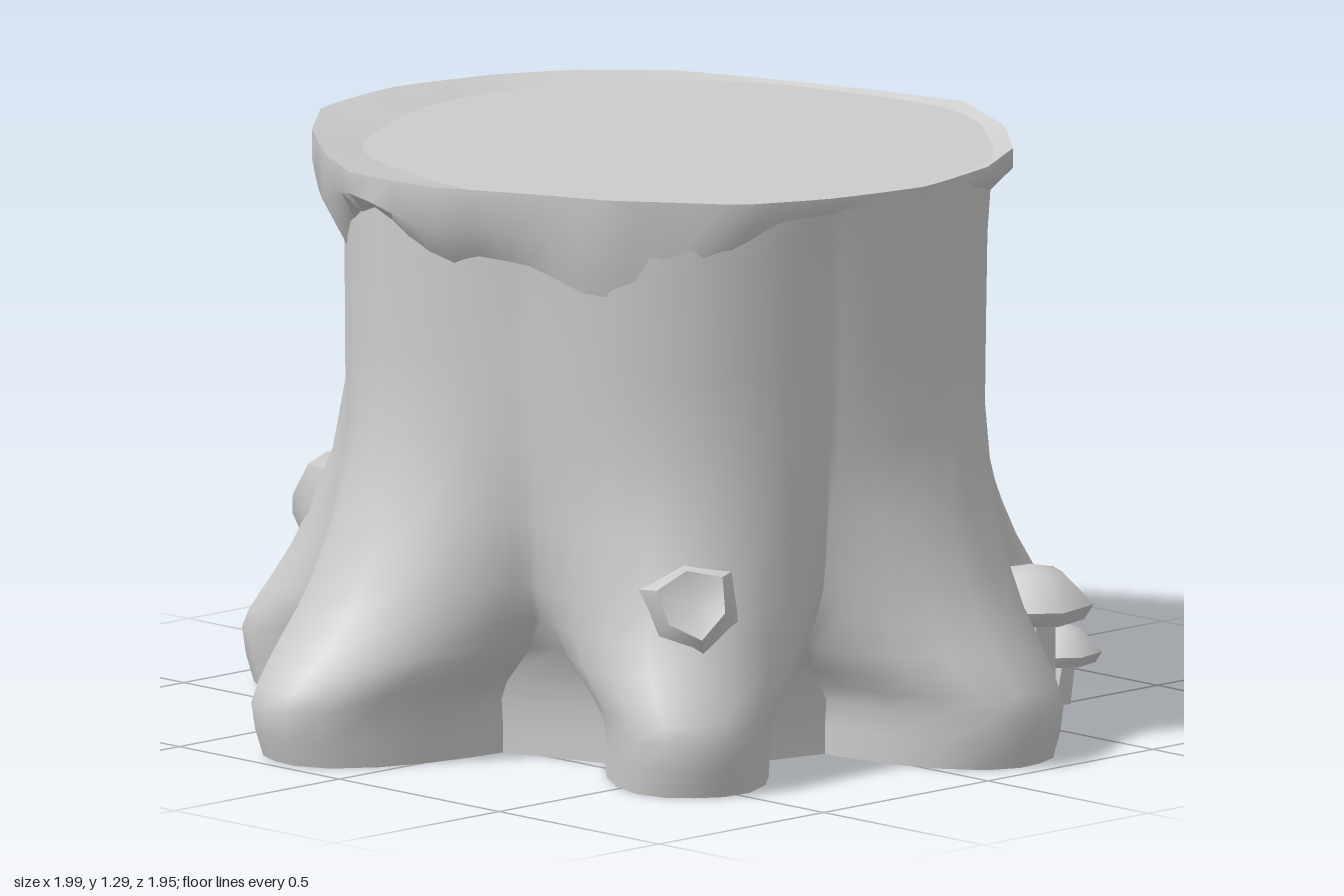
import * as THREE from 'three';
import { toCreasedNormals } from 'three/addons/utils/BufferGeometryUtils.js';

const RAD = Math.PI / 180;
// direction (degrees, from +x towards +z) and tip radius of each root, in turning order
const ROOTS = [[-109, 1.015], [-47, 1.0], [8, 1.005], [77, 0.99], [130.5, 0.93], [194, 1.02]];
// height, root flare, valley radius, root half angle, bluntness, softness
const LEVELS = [
  [0, 0.9, 0.54, 18, 2.7, 1], [0.06, 0.97, 0.54, 18, 2.7, 1], [0.12, 1, 0.545, 18, 2.8, 1],
  [0.16, 0.94, 0.55, 20, 2.6, 1], [0.2, 0.85, 0.555, 23.5, 2.4, 1.1], [0.25, 0.74, 0.57, 28, 2.1, 1.25],
  [0.32, 0.57, 0.6, 31, 2, 1.4], [0.4, 0.41, 0.635, 34, 2, 1.7], [0.55, 0.18, 0.665, 35, 2, 2],
  [0.72, 0.01, 0.68, 36, 2, 2], [0.9, 0, 0.685, 36, 2, 2], [1.1, 0, 0.69, 36, 2, 2], [1.26, 0, 0.705, 36, 2, 2],
];
// direction and radius of the corners of the uneven rim
const RIM = [
  [10, 0.78], [32, 0.75], [50, 0.755], [65, 0.745], [84, 0.735], [106, 0.725], [122, 0.755],
  [144, 0.745], [164, 0.74], [176, 0.777], [194, 0.8], [211, 0.77], [230, 0.78], [246, 0.815],
  [264, 0.795], [285, 0.776], [299, 0.787], [316, 0.79], [332, 0.75], [352, 0.74], [370, 0.78],
];

// signed smallest difference between two angles in degrees
const angleGap = (a, b) => ((a - b + 540) % 360 + 360) % 360 - 180;

// joins closed rings, listed so that the outside faces outward
function loft(rings, crease) {
  const n = rings[0].length, pos = [], index = [];
  rings.forEach(r => r.forEach(p => pos.push(...p)));
  for (let j = 0; j < rings.length - 1; j++) {
    for (let i = 0; i < n; i++) {
      const a = j * n + i, b = j * n + (i + 1) % n;
      index.push(a, a + n, b, b, a + n, b + n);
    }
  }
  const g = new THREE.BufferGeometry();
  g.setAttribute('position', new THREE.Float32BufferAttribute(pos, 3));
  g.setIndex(index);
  return toCreasedNormals(g, crease);
}

function ring(angles, radius, height, cx = 0, cz = 0) {
  return angles.map(d => {
    const r = radius(d);
    return [cx + r * Math.cos(d * RAD), height(d), cz + r * Math.sin(d * RAD)];
  });
}
const even = n => Array.from({ length: n }, (_, i) => i * 360 / n);

function trunkRadius(deg, [, flare, valley, half, blunt, soft]) {
  let r = valley;
  for (const [dir, tip] of ROOTS) {
    const u = Math.min(1, Math.abs(angleGap(deg, dir)) / half);
    const ridge = 0.735 + (tip - 0.735) * flare;
    r = Math.max(r, valley + (ridge - valley) * (1 - u ** blunt) ** soft);
  }
  return r;
}

// angles that follow the root walls, so the edge loops run along each root
function rootAngles([, , , half]) {
  const steps = [-1, -0.93, -0.82, -0.66, -0.45, -0.22, 0, 0.22, 0.45, 0.66, 0.82, 0.93, 1];
  return ROOTS.flatMap(([dir], k) => steps.map(u => {
    const next = ROOTS[(k + (u < 0 ? 5 : 1)) % 6][0];
    return dir + u * Math.min(half, Math.abs(angleGap(next, dir)) * 0.495);
  }));
}

// distance to the straight-sided rim outline
function rimRadius(deg) {
  const d = deg < RIM[0][0] ? deg + 360 : deg;
  const i = RIM.findIndex(c => c[0] > d);
  const [a0, r0] = RIM[i - 1], [a1, r1] = RIM[i];
  return r0 * r1 * Math.sin((a1 - a0) * RAD)
    / (r0 * Math.sin((d - a0) * RAD) + r1 * Math.sin((a1 - d) * RAD));
}

// height of the ragged lower edge of the rim
function rimEdge(deg) {
  let y = 1.22 + 0.01 * Math.sin(deg * RAD * 11);
  for (const [dir, drop, width] of [[7, 0.15, 24], [144, 0.17, 28], [176, 0.12, 18], [-144, 0.15, 24], [-76, 0.13, 22], [45, 0.04, 20]]) {
    y -= drop * Math.max(0, 1 - Math.abs(angleGap(deg, dir)) / width);
  }
  return Math.max(1.06, y);
}

export function createModel() {
  const model = new THREE.Group();
  const grey = new THREE.MeshStandardMaterial({ color: 0xcccccc, side: THREE.DoubleSide });
  grey.name = 'plain grey';
  const add = (name, geometry, parent = model) => {
    const mesh = new THREE.Mesh(geometry, grey);
    mesh.name = name;
    parent.add(mesh);
    return mesh;
  };

  // hollow trunk with flaring roots, open underneath
  add('trunkAndRoots', loft(LEVELS.map(l =>
    ring(rootAngles(l), d => trunkRadius(d, l), () => l[0])), 0.9));

  // bark rim growing out of the trunk, uneven along its top
  const round = even(72);
  const top = LEVELS[LEVELS.length - 1];
  const topY = d => 1.283 + 0.009 * Math.cos((d + 150) * RAD) + 0.006 * Math.sin(3 * d * RAD);
  const cutR = d => 0.685 + 0.012 * Math.sin(d * RAD * 7);
  const cutRing = r => ring(round, r, () => 1.265, 0.045, -0.005);
  add('barkRim', loft([
    ring(round, d => trunkRadius(d, top) - 0.008, rimEdge),
    ring(round, rimRadius, d => rimEdge(d) * 0.5 + 1.28 * 0.5),
    ring(round, rimRadius, topY),
    cutRing(cutR),
  ], 0.9));

  // flat cut surface
  add('cutTop', loft([cutRing(cutR), cutRing(() => 0)], 0.7));

  // low six-sided broken knots on two roots
  for (const [name, at, dir] of [
    ['frontKnot', [-0.51, 0.4, 0.6], [-0.63, 0.35, 0.72]],
    ['backKnot', [-0.27, 0.42, -0.77], [-0.3, 0.45, -0.85]],
  ]) {
    const profile = [[0.16, -0.07], [0.125, 0.0], [0.085, 0.06], [0, 0.04]];
    const knot = add(name, loft(profile.map(([r, y]) =>
      ring(even(6), d => r * (d % 120 ? 0.85 : 1), () => y)), 1));
    knot.position.set(...at);
    knot.quaternion.setFromUnitVectors(new THREE.Vector3(0, 1, 0), new THREE.Vector3(...dir).normalize());
  }

  // mushrooms: leaning six-sided stem under a domed cap
  function mushroom(name, foot, head, capR, capH, stemR) {
    const group = new THREE.Group();
    group.name = name;
    model.add(group);
    const stemRing = (r, [x, y, z]) => ring(even(6), () => r, () => y, x, z);
    add('stem', loft([
      stemRing(0, foot), stemRing(stemR, foot), stemRing(stemR * 0.85, head),
    ], 0.5), group);
    const profile = [[0, 0.15], [0.85, 0], [1, 0.28], [0.5, 0.87], [0, 1]];
    add('cap', loft(profile.map(([r, y]) =>
      ring(even(7), () => r * capR, () => head[1] - 0.01 + y * capH, head[0], head[2])), 0.9), group);
  }
  mushroom('largeMushroom', [0.54, 0, 0.56], [0.56, 0.23, 0.555], 0.14, 0.12, 0.068);
  mushroom('smallMushroom', [0.7, 0, 0.475], [0.72, 0.1, 0.48], 0.095, 0.085, 0.045);

  return model;
}
